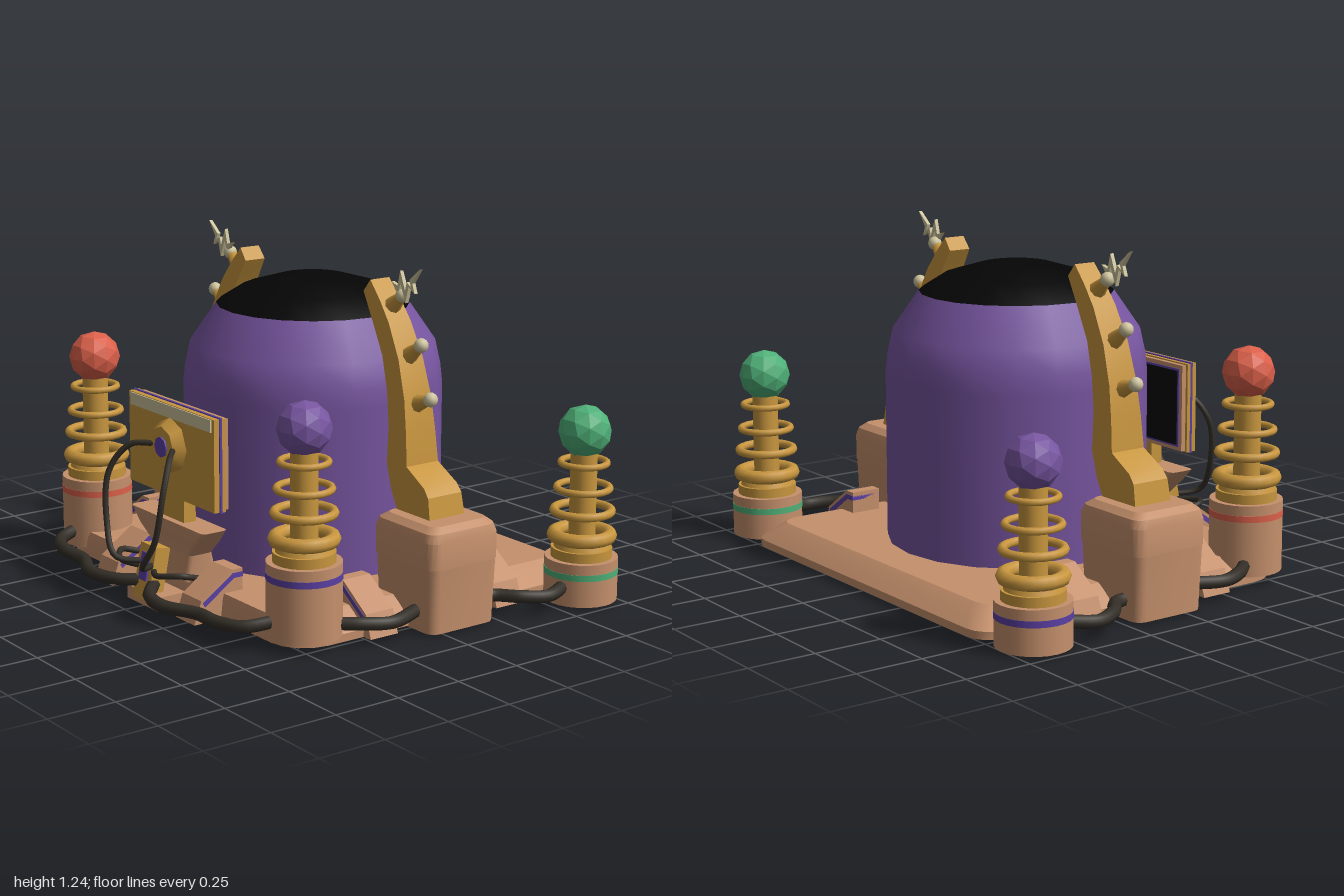
import * as THREE from 'three';
import { toCreasedNormals } from 'three/addons/utils/BufferGeometryUtils.js';

const V = (x, y, z) => new THREE.Vector3(x, y, z);
const mat = (name, color, side = THREE.FrontSide) => {
  const m = new THREE.MeshStandardMaterial({ color, side });
  m.name = name;
  return m;
};

export function createModel() {
  const M = {
    purple: mat('purple', 0x7755a0),
    tan: mat('copper tan', 0xc5906c, THREE.DoubleSide),
    gold: mat('gold', 0xc8963e),
    black: mat('black', 0x050505),
    cable: mat('cable', 0x332e27),
    green: mat('green', 0x4fb078),
    red: mat('red', 0xdb604a),
    cream: mat('cream', 0xcdc39c),
    violet: mat('violet', 0x5b40a4),
    navy: mat('navy', 0x2e2e92),
  };
  const root = new THREE.Group();
  root.name = 'machine';

  const add = (parent, name, geo, m, x = 0, y = 0, z = 0) => {
    const mesh = new THREE.Mesh(geo, m);
    mesh.name = name;
    mesh.position.set(x, y, z);
    parent.add(mesh);
    return mesh;
  };
  const group = (name, x = 0, y = 0, z = 0, ry = 0) => {
    const g = new THREE.Group();
    g.name = name;
    g.position.set(x, y, z);
    g.rotation.y = ry;
    root.add(g);
    return g;
  };
  const box = (parent, name, size, m, x, y, z) => add(parent, name, new THREE.BoxGeometry(...size), m, x, y, z);
  // Tapered rod between two points
  const rod = (parent, name, a, b, ra, rb, m) => {
    const d = b.clone().sub(a);
    const mesh = add(parent, name, new THREE.CylinderGeometry(rb, ra, d.length(), 8), m);
    mesh.position.copy(a).addScaledVector(d, 0.5);
    mesh.quaternion.setFromUnitVectors(V(0, 1, 0), d.normalize());
  };
  // Loft through rounded rectangles [y, x0, x1, z0, z1, left radius, right radius]; top closed, bottom optional
  const loft = (rings, closeBottom) => {
    const S = 4, n = 4 * (S + 1), pos = [], idx = [];
    for (const [y, x0, x1, z0, z1, rl, rr] of rings) {
      [[x1 - rr, z1 - rr, rr], [x0 + rl, z1 - rl, rl], [x0 + rl, z0 + rl, rl], [x1 - rr, z0 + rr, rr]]
        .forEach(([cx, cz, r], k) => {
          for (let i = 0; i <= S; i++) {
            const a = (k + i / S) * Math.PI / 2;
            pos.push(cx + r * Math.cos(a), y, cz + r * Math.sin(a));
          }
        });
    }
    const centre = ([y, x0, x1, z0, z1]) => pos.push((x0 + x1) / 2, y, (z0 + z1) / 2) / 3 - 1;
    const last = rings.length - 1;
    const top = centre(rings[last]), bottom = centre(rings[0]);
    for (let i = 0; i < n; i++) {
      const j = (i + 1) % n;
      for (let k = 0; k < last; k++) {
        const a = k * n, b = a + n;
        idx.push(a + i, b + i, a + j, a + j, b + i, b + j);
      }
      idx.push(top, last * n + j, last * n + i);
      if (closeBottom) idx.push(bottom, i, j);
    }
    const g = new THREE.BufferGeometry();
    g.setAttribute('position', new THREE.Float32BufferAttribute(pos, 3));
    g.setIndex(idx);
    return toCreasedNormals(g, 0.5);
  };
  // Side profile given as [z, y], extruded along x and centred
  const profile = (pts, width) => {
    const g = new THREE.ExtrudeGeometry(new THREE.Shape(pts.map((p) => new THREE.Vector2(...p))),
      { depth: width, bevelEnabled: false });
    return g.translate(0, 0, -width / 2).rotateY(-Math.PI / 2);
  };

  // Base: a shell, hollow underneath
  add(root, 'base', loft([
    [0.012, -0.55, 0.775, -0.775, 0.755, 0.14, 0.1],
    [0.04, -0.55, 0.775, -0.775, 0.755, 0.14, 0.1],
    [0.085, -0.545, 0.73, -0.72, 0.7, 0.13, 0.09],
    [0.105, -0.54, 0.7, -0.69, 0.67, 0.12, 0.07],
  ], false), M.tan);

  // Dome with dark cap, and its two-tone underside
  const lathe = (pts) => new THREE.LatheGeometry(pts.map((p) => new THREE.Vector2(...p)), 20);
  add(root, 'dome', lathe([[0.478, 0.085], [0.478, 0.72], [0.47, 0.79], [0.45, 0.88], [0.355, 1.018]]),
    M.purple, 0.082, 0, -0.005);
  add(root, 'domeCap', lathe([[0.355, 1.018], [0.265, 1.075], [0.13, 1.115], [0, 1.117]]),
    M.black, 0.082, 0, -0.005);
  [[M.navy, -1], [M.purple, 1]].forEach(([m, s]) => add(root, 'underside',
    new THREE.CircleGeometry(0.478, 12, s * Math.PI / 2, Math.PI).rotateX(Math.PI / 2), m, 0.082, 0.085, -0.005));

  // Coil towers
  const tower = (x, z, ballY, bottom, accent) => {
    const g = group('coilTower', x, 0, z);
    const top = ballY - 0.46;
    const cyl = (name, r0, r1, y0, y1, m) =>
      add(g, name, new THREE.CylinderGeometry(r1, r0, y1 - y0, 24), m, 0, (y0 + y1) / 2);
    cyl('towerBase', 0.132, 0.132, bottom, top, M.tan);
    cyl('towerBand', 0.1335, 0.1335, top - 0.06, top - 0.037, accent);
    cyl('collar', 0.11, 0.11, top, top + 0.035, M.gold);
    cyl('collarTop', 0.1, 0.09, top + 0.035, top + 0.06, M.gold);
    cyl('post', 0.048, 0.048, top, ballY - 0.06, M.gold);
    [[-0.382, 0.1, 0.026], [-0.292, 0.103, 0.016], [-0.208, 0.095, 0.013], [-0.115, 0.083, 0.012]]
      .forEach(([dy, r, t]) => add(g, 'coilRing',
        new THREE.TorusGeometry(r, t, 8, 20).rotateX(Math.PI / 2), M.gold, 0, ballY + dy));
    add(g, 'ball', new THREE.IcosahedronGeometry(0.096, 1), accent === M.violet ? M.purple : accent, 0, ballY)
      .geometry.computeVertexNormals();
  };
  tower(-0.447, 0.667, 0.76, 0.04, M.violet);
  tower(-0.447, -0.68, 0.76, 0.04, M.red);
  tower(0.64, 0.865, 0.627, 0.01, M.green);
  tower(0.64, -0.868, 0.627, 0.01, M.violet);

  // Front and back pylons: housing, curved arm, studs and spark
  const armSide = [[0.61, 0.38], [0.79, 0.38], [0.775, 0.46], [0.75, 0.49], [0.65, 0.545], [0.638, 0.66],
    [0.62, 0.775], [0.578, 0.91], [0.514, 1.03], [0.46, 1.1], [0.4, 1.165], [0.364, 1.12], [0.43, 1.01],
    [0.487, 0.91], [0.522, 0.79], [0.54, 0.67], [0.54, 0.535], [0.57, 0.45]];
  for (const ry of [0, Math.PI]) {
    const g = group('pylon', 0.083, 0, -0.01, ry);
    add(g, 'housingLower', loft([
      [0.008, -0.145, 0.145, 0.575, 0.89, 0.04, 0.04], [0.24, -0.152, 0.152, 0.566, 0.897, 0.04, 0.04]], true), M.tan);
    add(g, 'housingUpper', loft([
      [0.24, -0.156, 0.156, 0.56, 0.9, 0.045, 0.045], [0.335, -0.156, 0.156, 0.56, 0.9, 0.045, 0.045],
      [0.365, -0.146, 0.146, 0.572, 0.89, 0.04, 0.04], [0.385, -0.122, 0.122, 0.6, 0.866, 0.035, 0.035]],
    false), M.tan);
    const arm = profile(armSide, 2);
    const p = arm.attributes.position;
    for (let i = 0; i < p.count; i++) {
      p.setX(i, p.getX(i) * THREE.MathUtils.mapLinear(p.getY(i), 0.38, 1.165, 0.078, 0.042));
    }
    add(g, 'arm', toCreasedNormals(arm, 0.4), M.gold);
    [[0.46, 1.07, 0.53, 1.125], [0.55, 0.905, 0.635, 0.965], [0.6, 0.75, 0.69, 0.783]].forEach(([z0, y0, z1, y1]) => {
      rod(g, 'studStem', V(0, y0, z0), V(0, y1, z1), 0.036, 0.016, M.gold);
      add(g, 'studBall', new THREE.SphereGeometry(0.026, 10, 8), M.cream, 0, y1, z1);
    });
    // Zigzag spark
    add(g, 'spark', profile([[0.49, 1.17], [0.525, 1.13], [0.54, 1.17], [0.568, 1.105], [0.585, 1.165], [0.618, 1.145],
      [0.605, 1.18], [0.645, 1.235], [0.588, 1.19], [0.598, 1.165], [0.575, 1.18], [0.565, 1.15], [0.538, 1.215],
      [0.523, 1.16]], 0.014), M.cream, ry ? 0.012 : -0.012);
  }

  // Wedge brackets around the base, with a stripe down each side
  const wedge = (x, z, ry) => {
    const g = group('bracket', x, 0, z, ry);
    add(g, 'wedge', profile([[0, 0.012], [0.205, 0.012], [0.175, 0.095], [0.045, 0.185], [0, 0.185]], 0.118), M.tan);
    add(g, 'wedgeStripe', profile([[0, 0.172], [0.042, 0.172], [0.168, 0.086], [0.16, 0.07], [0.038, 0.154], [0, 0.154]],
      0.122), M.violet);
  };
  for (const x of [-0.2, 0.365]) {
    wedge(x, 0.59, 0);
    wedge(x, -0.61, Math.PI);
  }
  for (const z of [-0.285, 0.26]) wedge(-0.46, z, -Math.PI / 2);

  // Screen on its cradle, facing the dome
  const screen = group('screen', -0.515, 0.55, -0.01);
  const slab = (name, x0, x1, h, w, m) => box(screen, name, [x1 - x0, h * 2, w * 2], m, (x0 + x1) / 2, 0, 0);
  slab('screenBack', -0.025, -0.004, 0.168, 0.275, M.gold);
  slab('screenTrim', -0.004, 0.006, 0.172, 0.28, M.violet);
  slab('screenRim', 0.006, 0.02, 0.168, 0.28, M.gold);
  slab('screenFrame', 0.02, 0.038, 0.163, 0.27, M.tan);
  slab('screenInnerTrim', 0.038, 0.042, 0.148, 0.255, M.violet);
  slab('screenGlass', 0.042, 0.046, 0.14, 0.247, M.black);
  box(screen, 'screenBackStrip', [0.006, 0.045, 0.52], M.cream, -0.027, 0.143, 0);
  const hub = (name, r0, r1, x0, x1, m) => add(screen, name,
    new THREE.CylinderGeometry(r1, r0, x0 - x1, 8).rotateZ(Math.PI / 2), m, (x0 + x1) / 2, 0.02, 0);
  hub('hub', 0.105, 0.075, -0.02, -0.065, M.gold);
  hub('hubCentre', 0.038, 0.038, -0.06, -0.071, M.violet);
  add(root, 'cradle', loft([
    [0.09, -0.56, -0.42, -0.13, 0.11, 0.02, 0.02], [0.19, -0.55, -0.45, -0.14, 0.12, 0.02, 0.02],
    [0.25, -0.565, -0.45, -0.2, 0.18, 0.02, 0.02], [0.3, -0.565, -0.46, -0.25, 0.23, 0.02, 0.02]], false), M.tan);
  box(root, 'screenNeck', [0.05, 0.1, 0.16], M.gold, -0.515, 0.34, -0.01);

  // Cable junction
  const junction = group('junction', -0.63, 0.115, -0.01);
  junction.rotation.z = -0.2;
  box(junction, 'junctionBox', [0.06, 0.2, 0.1], M.gold, 0, 0, 0);
  box(junction, 'junctionPlate', [0.008, 0.1, 0.05], M.violet, -0.033, 0.02, 0);
  box(root, 'junctionFoot', [0.14, 0.05, 0.2], M.tan, -0.6, 0.025, -0.01);

  // Cables, mirrored front to back
  const tube = (name, pts, r, s) => add(root, name, new THREE.TubeGeometry(
    new THREE.CatmullRomCurve3(pts.map(([x, y, z]) => V(x, y, z * s - 0.01))), 32, r, 8), M.cable);
  for (const s of [-1, 1]) {
    tube('cable', [[-0.36, 0.08, 0.76], [-0.3, 0.08, 0.81], [-0.2, 0.075, 0.845], [-0.05, 0.08, 0.8]], 0.024, s);
    tube('cable', [[0.2, 0.08, 0.81], [0.27, 0.075, 0.825], [0.34, 0.075, 0.9], [0.43, 0.07, 0.935], [0.54, 0.08, 0.9]], 0.024, s);
    tube('cable', [[-0.55, 0.1, 0.66], [-0.65, 0.085, 0.61], [-0.69, 0.08, 0.5], [-0.685, 0.075, 0.38],
      [-0.74, 0.075, 0.24], [-0.715, 0.075, 0.12], [-0.63, 0.08, 0.02]], 0.024, s);
    tube('thinCable', [[-0.57, 0.57, 0.06], [-0.63, 0.56, 0.13], [-0.69, 0.46, 0.18], [-0.715, 0.28, 0.16],
      [-0.725, 0.17, 0.09], [-0.64, 0.15, 0.03]], 0.011, s);
    tube('thinCable', [[-0.56, 0.13, 0.2], [-0.63, 0.15, 0.2], [-0.68, 0.14, 0.12], [-0.64, 0.13, 0.03]], 0.011, s);
  }
  return root;
}
